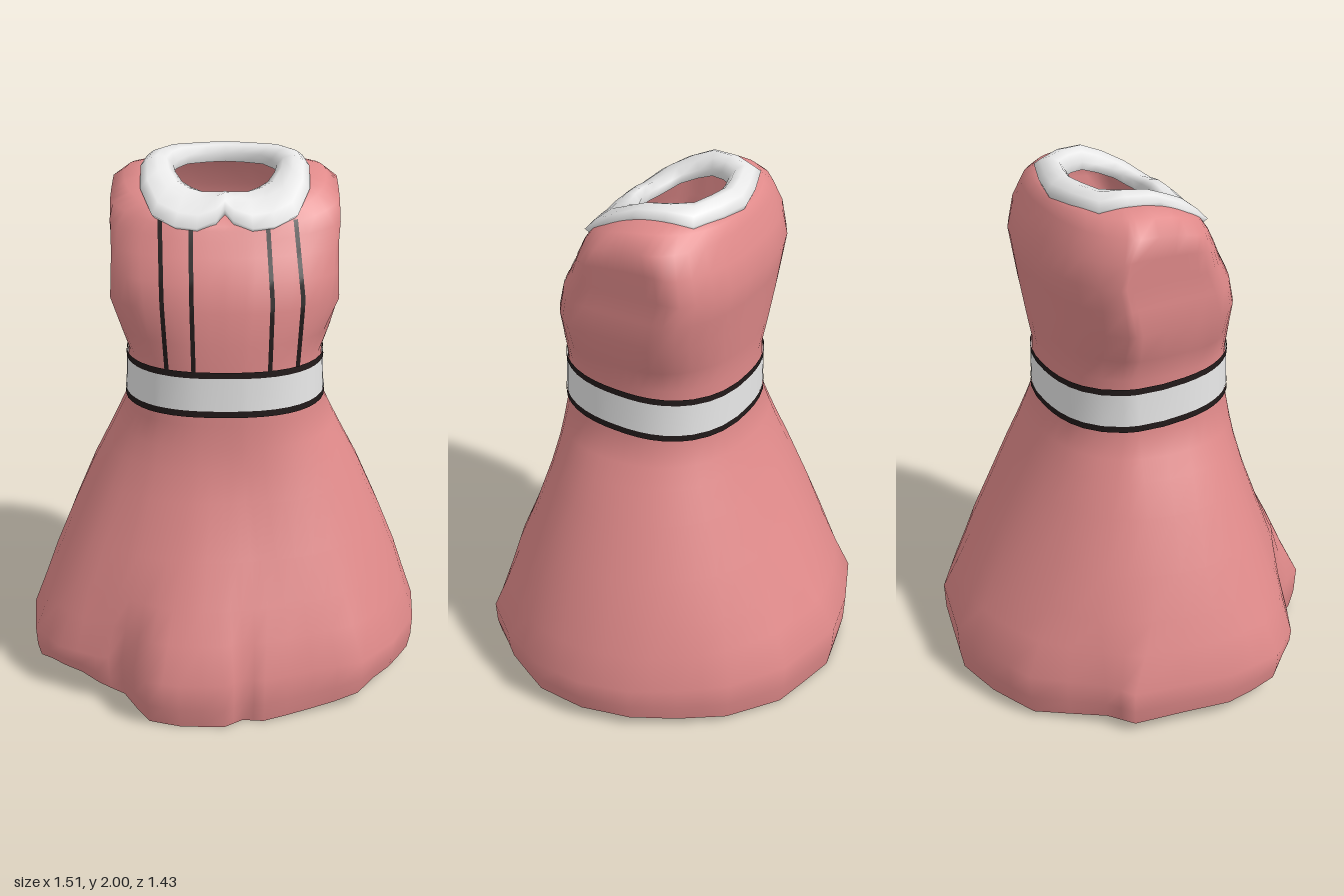
import * as THREE from 'three';

const material = (name, color) => {
  const m = new THREE.MeshStandardMaterial({ color, side: THREE.DoubleSide });
  m.name = name;
  return m;
};

// Skin closed rings of [x, y, z] points, listed so that "up" gives outward faces
function loft(rings) {
  const n = rings[0].length, index = [];
  for (let i = 0; i < rings.length - 1; i++) {
    for (let j = 0; j < n; j++) {
      const a = i * n + j, b = i * n + (j + 1) % n, c = a + n, d = b + n;
      index.push(a, b, d, a, d, c);
    }
  }
  const g = new THREE.BufferGeometry();
  g.setAttribute('position', new THREE.Float32BufferAttribute(rings.flat(2), 3));
  g.setIndex(index);
  g.computeVertexNormals();
  return g;
}

const { lerp, clamp } = THREE.MathUtils;
const mix = (p, q, t) => p.map((v, i) => lerp(v, q[i], t));

// Uneven hem outline (x, z), from the front round by the model's left
const hemOutline = [
  [0, 0.71], [0.07, 0.66], [0.15, 0.67], [0.33, 0.6], [0.52, 0.54], [0.65, 0.39],
  [0.74, 0.2], [0.755, 0], [0.71, -0.19], [0.62, -0.35], [0.5, -0.51], [0.3, -0.65],
  [0, -0.72], [-0.2, -0.68], [-0.41, -0.6], [-0.59, -0.37], [-0.69, -0.3], [-0.76, 0.08],
  [-0.735, 0.3], [-0.63, 0.43], [-0.49, 0.5], [-0.39, 0.525], [-0.29, 0.68], [-0.17, 0.71],
];
// One column per outline point and per midpoint, with a smoothed copy of the outline
const outline = hemOutline.flatMap((p, i) => [p, mix(p, hemOutline[(i + 1) % hemOutline.length], 0.5)]);
const columns = outline.map(([x, z], i) => {
  const soft = [0, 0];
  for (let k = -3; k <= 3; k++) {
    const q = outline[(i + k + outline.length) % outline.length];
    soft[0] += q[0] * 1.025 / 7;
    soft[1] += q[1] * 1.025 / 7;
  }
  return { hem: [x, z], soft, a: Math.atan2(x, z) };
});

// Rounded body section, cut flat at x = cap; the front can dip and the sides can rise
function bodyPoint(a, [rx, cap, zf, zb, yF, yB, sideLift]) {
  const n = 2.4, s = Math.sin(a), c = Math.cos(a);
  const k = (Math.abs(s) ** n + Math.abs(c) ** n) ** (-1 / n);
  const zc = (zf + zb) / 2, rz = (zf - zb) / 2;
  const y = lerp(yB, yF, ((1 + c) / 2) ** 3) + sideLift * s * s;
  return [clamp(rx * s * k, -cap, cap), y, zc + rz * c * k];
}
const waist = [0.372, 0.372, 0.39, -0.31, 1.09, 1.09, 0];
const bodiceSections = [
  waist,
  [0.363, 0.363, 0.385, -0.308, 1.305, 1.305, 0],
  [0.4, 0.39, 0.383, -0.322, 1.4, 1.4, 0],
  [0.46, 0.418, 0.372, -0.335, 1.52, 1.52, 0],
  [0.475, 0.412, 0.345, -0.348, 1.62, 1.62, 0],
  [0.48, 0.412, 0.3, -0.36, 1.7, 1.71, 0],
  [0.475, 0.418, 0.268, -0.335, 1.755, 1.8, 0.01],
  [0.44, 0.416, 0.25, -0.3, 1.785, 1.88, 0.012],
  [0.37, 0.37, 0.24, -0.28, 1.8, 1.92, 0.025],
  [0.29, 0.29, 0.21, -0.25, 1.825, 1.935, 0.03],
  [0.2, 0.2, 0.13, -0.19, 1.86, 1.93, 0.01],
];

// Skirt: blends from the waist (t = 0) to the hem outline (t = 1)
const skirtLevels = [[0, 0.96], [0.08, 0.99], [0.19, 1], [0.32, 0.9], [0.44, 0.81],
  [0.6, 0.64], [0.8, 0.4], [0.92, 0.23], [1.0, 0.12]];
function skirtRing([y, t]) {
  return columns.map(({ hem, soft, a }) => {
    const c = Math.cos(a);
    const u = t - Math.sin(Math.PI * t) * (c > 0 ? 0.25 : 0.1) * c * c;
    const w = bodyPoint(a, waist);
    const [x, z] = mix(hem, soft, clamp((y - 0.19) / 0.3, 0, 1));
    const bump = (a < 0 ? 0.07 : 0.04) * Math.exp(-(((Math.abs(a) - 0.95) / 0.25) ** 2));
    const wave = 0.05 * Math.sin(a) ** 2 + bump;
    return [lerp(w[0], x, u), y + wave * Math.max(0, 1 - y / 0.19), lerp(w[2], z, u)];
  });
}

export function createModel() {
  const group = new THREE.Group();
  const pink = material('pink cloth', 0xe08a8a);
  const white = material('white cloth', 0xe8e8e8);
  const dark = material('dark trim', 0x221a1a);
  const add = (name, geometry, mat) => {
    const mesh = new THREE.Mesh(geometry, mat);
    mesh.name = name;
    group.add(mesh);
    return mesh;
  };

  // Dress shell, open at the neck and hem
  const skirt = skirtLevels.map(skirtRing);
  const bodice = bodiceSections.map((s) => columns.map(({ a }) => bodyPoint(a, s)));
  const dress = add('dress', loft([...skirt, ...bodice]), pink);

  // Hem turned inwards
  const lip = columns.map(({ soft }, i) => [soft[0] * 0.79, skirt[0][i][1] + 0.045, soft[1] * 0.79]);
  add('hemUnderside', loft([lip, skirt[0]]), pink);

  // Belt with dark edges
  const beltRing = (v, out) => columns.map(({ a }) => {
    const c = Math.cos(a);
    const y = lerp(1.112 + 0.02 * c, 1.28 + 0.02 * c, v);
    const [x, , z] = bodyPoint(a, mix(waist, bodiceSections[1], (y - 1.09) / 0.215));
    return [x + Math.sin(a) * out, y, z + c * out];
  });
  const band = (v0, v1, out) => loft([beltRing(v0, out), beltRing(v1, out)]);
  add('belt', band(0.1, 0.9, 0.004), white);
  add('beltLowerEdge', band(-0.02, 0.125, 0.006), dark);
  add('beltUpperEdge', band(0.875, 1.02, 0.006), dark);

  // Chest seams laid on the bodice: x at the top, middle and bottom
  const ray = new THREE.Raycaster();
  dress.updateMatrixWorld();
  const surfaceZ = (x, y) => {
    ray.set(new THREE.Vector3(x, y, 2), new THREE.Vector3(0, 0, -1));
    return ray.intersectObject(dress)[0].point.z + 0.002;
  };
  for (const [top, mid, low] of [[-0.232, -0.225, -0.21], [-0.122, -0.118, -0.112],
    [0.152, 0.17, 0.163], [0.252, 0.28, 0.265]]) {
    const strip = new THREE.PlaneGeometry(0.016, 1, 1, 32);
    const p = strip.attributes.position;
    for (let i = 0; i < p.count; i++) {
      const v = p.getY(i) + 0.5;
      const x = p.getX(i) + (v < 0.5 ? lerp(low, mid, v * 2) : lerp(mid, top, v * 2 - 1));
      const y = lerp(1.29, 1.82, v);
      p.setXYZ(i, x, y, surfaceZ(x, y));
    }
    strip.computeVertexNormals();
    add('chestSeam', strip, dark);
  }

  // Rounded collar, half given as outer edge and inner edge, then mirrored
  const half = [
    [[0, 1.855, 0.205], [0, 1.88, 0.125]],
    [[0.03, 1.825, 0.245], [0.04, 1.885, 0.115]],
    [[0.1, 1.8, 0.262], [0.08, 1.89, 0.1]],
    [[0.18, 1.808, 0.255], [0.12, 1.9, 0.08]],
    [[0.26, 1.838, 0.22], [0.155, 1.915, 0.055]],
    [[0.305, 1.905, 0.115], [0.18, 1.935, 0]],
    [[0.308, 1.96, 0], [0.19, 1.95, -0.05]],
    [[0.288, 1.967, -0.12], [0.17, 1.955, -0.1]],
    [[0.257, 1.95, -0.215], [0.13, 1.96, -0.15]],
    [[0.12, 1.945, -0.262], [0.06, 1.962, -0.17]],
    [[0, 1.945, -0.29], [0, 1.962, -0.18]],
  ];
  const flip = ([x, y, z]) => [-x, y, z];
  const edges = [...half, ...half.slice(1, -1).reverse().map((e) => e.map(flip))];
  const collarRing = (t, dy) => edges.map(([o, i]) => {
    const p = mix(o, i, t);
    return [p[0], p[1] + dy, p[2]];
  });
  add('collar', loft([
    collarRing(0.1, -0.025), collarRing(0, 0), collarRing(0.2, 0.022), collarRing(0.5, 0.038),
    collarRing(0.8, 0.028), collarRing(1, 0), collarRing(0.92, -0.035),
  ]), white);

  return group;
}
